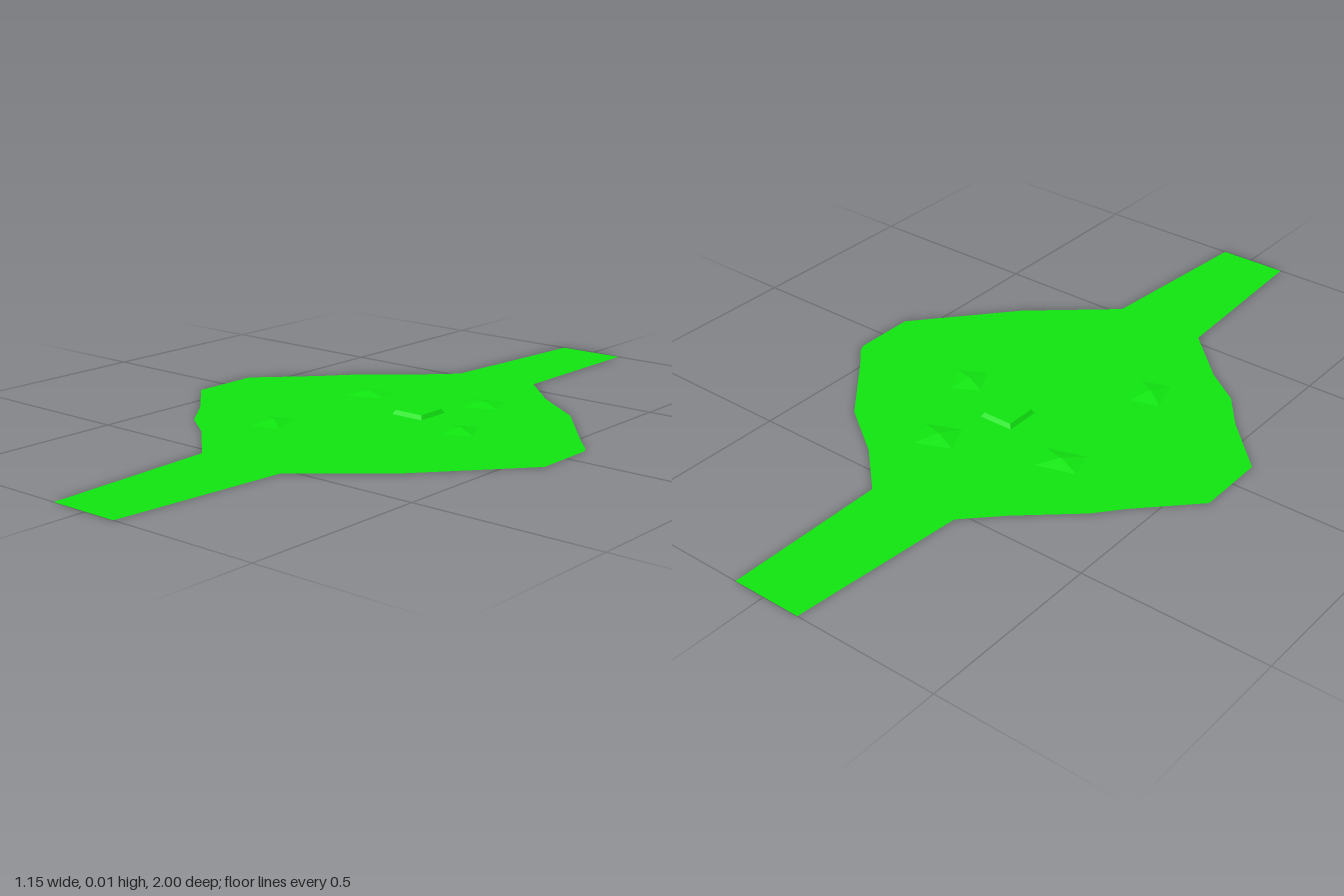
import * as THREE from 'three';

// Outline of the sheet as [x, z]
const OUTLINE = [
  [-0.105, -1], [0.09, -1], [0.09, -0.555], [0.21, -0.44], [0.36, -0.335],
  [0.51, -0.155], [0.56, -0.1], [0.57, -0.08], [0.57, 0.09], [0.35, 0.34],
  [0.13, 0.525], [0.09, 1], [-0.105, 1], [-0.13, 0.525], [-0.27, 0.39],
  [-0.37, 0.32], [-0.445, 0.225], [-0.58, 0.09], [-0.58, -0.1], [-0.44, -0.24],
  [-0.38, -0.31], [-0.235, -0.435], [-0.145, -0.525],
];

// Low mounds: x, z, width, depth, turn
const MOUNDS = [
  [-0.195, -0.18, 0.11, 0.08, 0.3],
  [0.115, -0.285, 0.1, 0.09, 0.4],
  [0.225, -0.035, 0.08, 0.09, 0.5],
  [-0.19, 0.21, 0.08, 0.1, 0.3],
];

export function createModel() {
  const group = new THREE.Group();
  const green = new THREE.MeshStandardMaterial({
    color: 0x10e510, flatShading: true, side: THREE.DoubleSide,
  });
  const add = (name, geometry) => {
    const mesh = new THREE.Mesh(geometry, green);
    mesh.name = name;
    group.add(mesh);
    return mesh;
  };

  // Flat ground sheet with a narrow strip at each end
  const shape = new THREE.Shape(OUTLINE.map(([x, z]) => new THREE.Vector2(x, -z)));
  add('groundSheet', new THREE.ShapeGeometry(shape).rotateX(-Math.PI / 2));

  // Shallow four-sided mounds
  MOUNDS.forEach(([x, z, w, d, turn], i) => {
    const cone = new THREE.ConeGeometry(Math.SQRT1_2, 0.01, 4, 1, true)
      .rotateY(Math.PI / 4).scale(w, 1, d).rotateY(turn).translate(x, 0.005, z);
    add(`mound${i + 1}`, cone);
  });

  // Flat-topped square mound near the middle
  add('squareMound', new THREE.CylinderGeometry(0.06, 0.07, 0.011, 4, 1)
    .rotateY(Math.PI / 4).translate(0.04, 0.0055, -0.1));

  return group;
}
